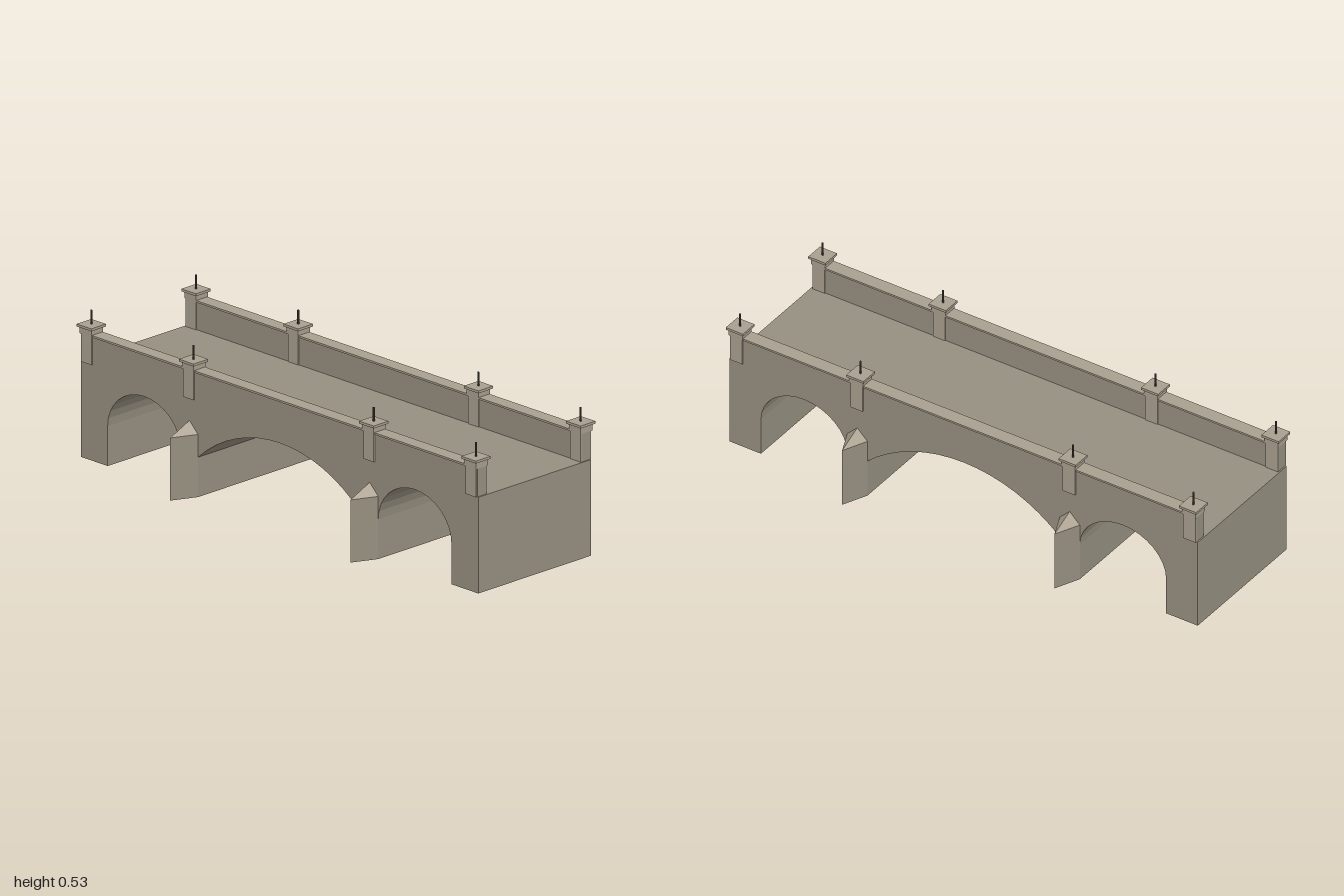
import * as THREE from 'three';

const stone = new THREE.MeshStandardMaterial({ name: 'wall stone', color: 0x968f80, flatShading: true });
const trim = new THREE.MeshStandardMaterial({ name: 'trim stone', color: 0xa89f8e, flatShading: true });
const iron = new THREE.MeshStandardMaterial({ name: 'dark iron', color: 0x4a463c, flatShading: true });

const LEN = 0.955, WID = 0.268, DECK = 0.345;   // half length, half width, deck height
const SPRING = 0.143, CROWN = 0.295;            // arch spring and crown heights
const PIER = 0.433, PIER_HALF = 0.041, ABUT = 0.826;

function add(parent, name, geometry, material, x = 0, y = 0, z = 0) {
  const mesh = new THREE.Mesh(geometry, material);
  mesh.name = name;
  mesh.position.set(x, y, z);
  parent.add(mesh);
  return mesh;
}

const box = (w, h, d) => new THREE.BoxGeometry(w, h, d);

// Elliptical side arch opening, traced from right to left
function sideArch(shape, x0, x1) {
  const mid = (x0 + x1) / 2, r = (x1 - x0) / 2;
  shape.lineTo(x1, 0);
  for (let i = 0; i <= 16; i++) {
    const a = Math.PI * i / 16;
    shape.lineTo(mid + r * Math.cos(a), SPRING + (CROWN - SPRING) * Math.sin(a));
  }
  shape.lineTo(x0, 0);
}

// Segmental middle arch opening
function middleArch(shape) {
  const half = PIER - PIER_HALF, rise = CROWN - SPRING;
  const R = (half * half + rise * rise) / (2 * rise), sweep = Math.asin(half / R);
  shape.lineTo(half, 0);
  for (let i = 0; i <= 16; i++) {
    const a = sweep * (1 - i / 8);
    shape.lineTo(R * Math.sin(a), CROWN - R + R * Math.cos(a));
  }
  shape.lineTo(-half, 0);
}

function spanGeometry() {
  const s = new THREE.Shape();
  s.moveTo(-LEN, DECK);
  s.lineTo(LEN, DECK);
  s.lineTo(LEN, 0);
  sideArch(s, PIER + PIER_HALF, ABUT);
  middleArch(s);
  sideArch(s, -ABUT, -PIER - PIER_HALF);
  s.lineTo(-LEN, 0);
  s.closePath();
  const g = new THREE.ExtrudeGeometry(s, { depth: 2 * WID, bevelEnabled: false });
  return g.translate(0, 0, -WID);
}

// Triangular pier nose pointing to +z
function noseGeometry(w, reach, h) {
  const s = new THREE.Shape();
  s.moveTo(-w, 0);
  s.lineTo(w, 0);
  s.lineTo(0, -reach);
  s.closePath();
  return new THREE.ExtrudeGeometry(s, { depth: h, bevelEnabled: false }).rotateX(-Math.PI / 2);
}

// Sloped cap that rises from the nose to a peak on the wall
function noseCapGeometry(w, reach, h) {
  const L = [-w, 0, 0], R = [w, 0, 0], T = [0, 0, reach], P = [0, h, 0];
  const g = new THREE.BufferGeometry();
  const corners = [L, T, P, T, R, P, R, L, P].flat();
  g.setAttribute('position', new THREE.Float32BufferAttribute(corners, 3));
  g.computeVertexNormals();
  return g;
}

function pillar() {
  const p = new THREE.Group();
  p.name = 'pillar';
  add(p, 'pillarShaft', box(0.05, 0.105, 0.05), trim, 0, 0.3975, 0);
  add(p, 'pillarNeck', box(0.056, 0.025, 0.056), trim, 0, 0.4595, 0);
  add(p, 'pillarCap', box(0.07, 0.009, 0.07), trim, 0, 0.4755, 0);
  add(p, 'pillarSpike', new THREE.CylinderGeometry(0.0035, 0.0035, 0.05, 8), iron, 0, 0.505, 0);
  return p;
}

export function createModel() {
  const model = new THREE.Group();
  model.name = 'archBridge';
  // The bridge stands at a slant to the axes
  const bridge = new THREE.Group();
  bridge.name = 'bridge';
  bridge.rotation.y = -0.213;
  model.add(bridge);

  add(bridge, 'archedSpan', spanGeometry(), stone);

  for (const side of [1, -1]) {
    const half = new THREE.Group();
    half.name = side > 0 ? 'frontSide' : 'backSide';
    half.rotation.y = side > 0 ? 0 : Math.PI;
    bridge.add(half);

    // Parapet wall and its thin coping
    add(half, 'parapet', box(1.9, 0.101, 0.041), stone, 0, 0.3955, 0.2475);
    add(half, 'parapetCoping', box(1.9, 0.007, 0.052), trim, 0, 0.4485, 0.2475);

    for (const x of [-0.924, -PIER, PIER, 0.924]) {
      const p = pillar();
      p.position.set(x, 0, 0.2485);
      half.add(p);
    }

    // Pointed pier noses
    for (const x of [-PIER, PIER]) {
      add(half, 'pierNose', noseGeometry(PIER_HALF, 0.092, 0.225), stone, x, 0, WID)
        .geometry.scale(1, 1, 1);
      add(half, 'pierNoseCap', noseCapGeometry(PIER_HALF, 0.092, 0.04), trim, x, 0.225, WID);
    }
  }
  // Turn the noses outward
  bridge.traverse((o) => { if (o.name === 'pierNose') o.updateMatrix(); });
  return model;
}
